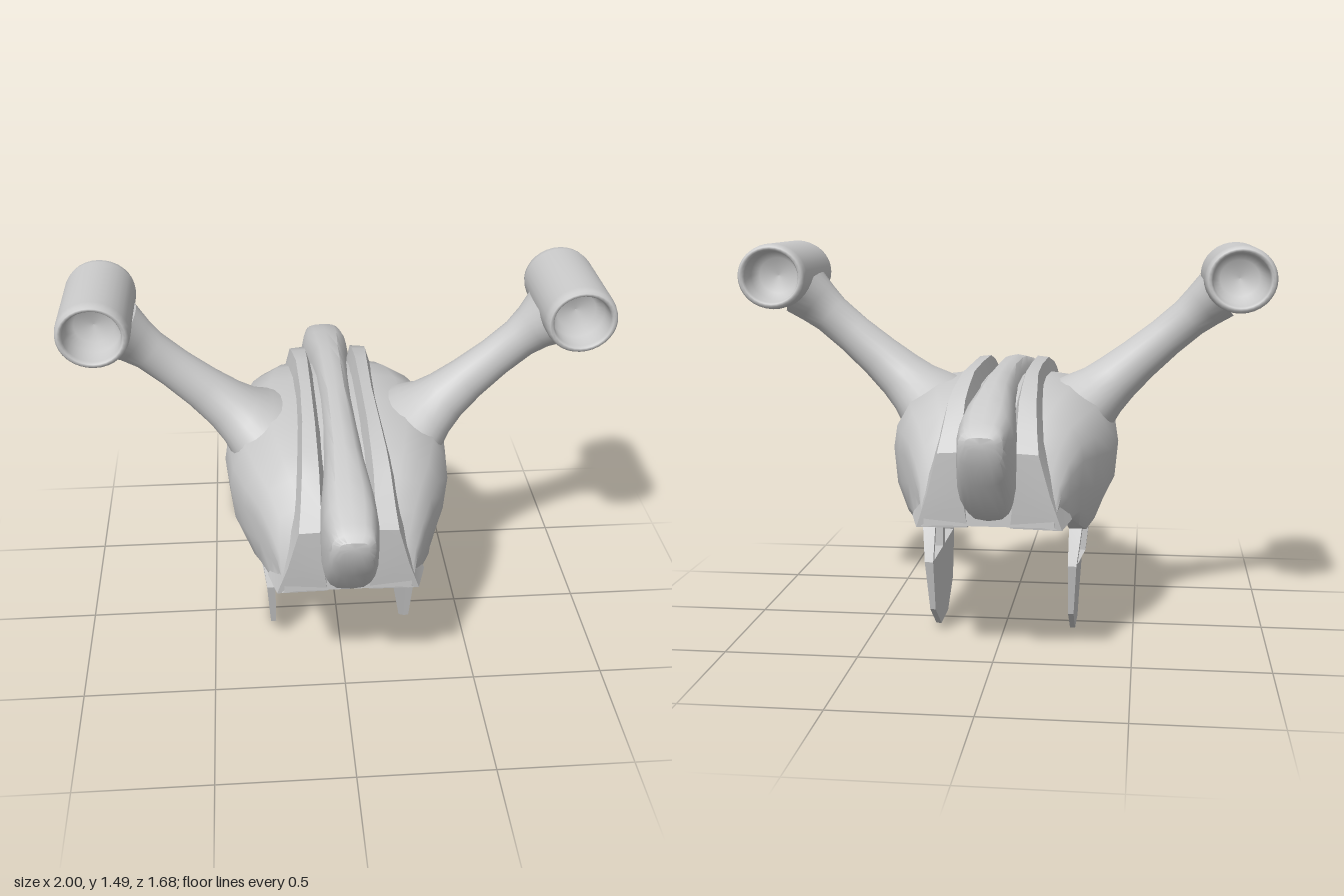
import * as THREE from 'three';
import { mergeVertices, toCreasedNormals } from 'three/addons/utils/BufferGeometryUtils.js';

const material = new THREE.MeshStandardMaterial({ color: 0xcccccc, side: THREE.DoubleSide });
const V = (x, y, z) => new THREE.Vector3(x, y, z);

// Skin a row of closed cross-sections and cap both ends.
function loft(rings, crease = 0.7) {
  const n = rings[0].length, pos = rings.flat(), tris = [];
  for (let i = 0; i < rings.length - 1; i++) {
    for (let j = 0; j < n; j++) {
      const a = i * n + j, b = i * n + (j + 1) % n;
      tris.push([a, b, a + n], [b, b + n, a + n]);
    }
  }
  [0, rings.length - 1].forEach((r, end) => {
    const c = pos.length;
    pos.push(rings[r].reduce((s, p) => s.add(p), V(0, 0, 0)).divideScalar(n));
    for (let j = 0; j < n; j++) {
      const a = r * n + j, b = r * n + (j + 1) % n;
      tris.push(end ? [a, b, c] : [b, a, c]);
    }
  });
  // Turn every face outward if the rings run the other way round.
  const volume = tris.reduce((s, [a, b, c]) => s + pos[a].dot(pos[b].clone().cross(pos[c])), 0);
  if (volume < 0) tris.forEach((t) => t.reverse());
  const g = new THREE.BufferGeometry().setFromPoints(pos);
  g.setIndex(tris.flat());
  return toCreasedNormals(mergeVertices(g), crease);
}

// Repeat stations [z, ...] on the other side of z = 0.
const mirrorZ = (stations) => [
  ...stations.slice(1).reverse().map(([z, ...rest]) => [-z, ...rest]),
  ...stations,
];

function mesh(name, geometry, parent) {
  const m = new THREE.Mesh(geometry, material);
  m.name = name;
  parent.add(m);
  return m;
}

// Broad body: [z, top, half width, bottom half width, bottom]
function hullGeometry() {
  const stations = mirrorZ([
    [0, 0.98, 0.43, 0.33, 0.43], [0.2, 0.975, 0.41, 0.32, 0.43],
    [0.35, 0.95, 0.365, 0.30, 0.485], [0.45, 0.915, 0.32, 0.28, 0.53],
    [0.53, 0.84, 0.28, 0.265, 0.53], [0.58, 0.74, 0.25, 0.25, 0.53],
    [0.61, 0.62, 0.235, 0.235, 0.53],
  ]);
  return loft(stations.map(([z, top, w, wb, yb]) => {
    const y = (f) => yb + (top - yb) * f;
    const inner = Math.min(0.255, wb - 0.02);
    const half = [
      [0.35 * w, y(1)], [0.6 * w, y(0.975)], [0.85 * w, y(0.86)], [0.97 * w, y(0.7)],
      [w, y(0.55)], [0.97 * w, y(0.3)], [Math.min(wb + 0.03, 0.97 * w), y(0.08)],
      [wb, yb], [inner, yb], [inner, 0.535],
    ];
    return [
      ...half.map(([x, v]) => V(x, v, z)),
      ...half.reverse().map(([x, v]) => V(-x, v, z)),
    ];
  }), 0.8);
}

// Central spine with a blunt nose at each end: [z, top, bottom, half width]
function spineGeometry() {
  const stations = mirrorZ([
    [0, 1.035, 0.56, 0.07], [0.25, 1.03, 0.56, 0.075], [0.4, 1.017, 0.56, 0.08],
    [0.6, 0.985, 0.55, 0.1], [0.69, 0.96, 0.595, 0.1], [0.78, 0.93, 0.715, 0.085],
    [0.82, 0.91, 0.79, 0.075], [0.838, 0.89, 0.845, 0.05],
  ]);
  const soft = (v) => Math.sign(v) * Math.abs(v) ** 0.65;
  return loft(stations.map(([z, top, bottom, w]) =>
    Array.from({ length: 20 }, (_, i) => {
      const a = (i / 20) * Math.PI * 2;
      return V(w * soft(Math.cos(a)), (top + bottom) / 2 + ((top - bottom) / 2) * soft(Math.sin(a)), z);
    })));
}

// Raised band over the body, beside the spine: [z, y, inner x, outer x]
function ridgeGeometry() {
  const stations = mirrorZ([
    [0, 1.035, 0.095, 0.135], [0.25, 1.03, 0.095, 0.14], [0.4, 0.995, 0.095, 0.15],
    [0.5, 0.96, 0.095, 0.155], [0.58, 0.87, 0.095, 0.165], [0.635, 0.8, 0.1, 0.175],
    [0.625, 0.65, 0.09, 0.215], [0.608, 0.53, 0.075, 0.255],
  ]);
  return loft(stations.map(([z, y, xi, xo]) => {
    const inZ = z * 0.85, inY = y + (0.6 - y) * 0.25;
    return [V(xi - 0.035, inY, inZ), V(xi, y, z), V(xo, y - 0.005, z * 0.995), V(xo + 0.03, inY, inZ)];
  }), 0.6);
}

// Flared arm: [x, y, radius across, radius along z]
function armGeometry() {
  const stations = [
    [0.24, 0.82, 0.16, 0.3], [0.32, 0.89, 0.13, 0.21], [0.365, 0.93, 0.11, 0.15],
    [0.42, 0.98, 0.097, 0.105], [0.5, 1.05, 0.085, 0.08], [0.6, 1.135, 0.077, 0.068],
    [0.69, 1.212, 0.078, 0.073], [0.74, 1.255, 0.088, 0.1], [0.79, 1.298, 0.1, 0.16],
  ];
  return loft(stations.map(([x, y, r, rz]) =>
    Array.from({ length: 24 }, (_, i) => {
      const a = (i / 24) * Math.PI * 2, c = Math.cos(a) * r;
      return V(x - 0.65 * c, y + 0.76 * c, rz * Math.sin(a));
    })), 0.9);
}

// Pod with a dished opening at both ends
function podGeometry() {
  const end = [[0.001, 0.1], [0.07, 0.11], [0.094, 0.14], [0.1, 0.205], [0.106, 0.217], [0.116, 0.217], [0.124, 0.207], [0.128, 0.18]];
  const profile = [...end.map(([r, h]) => [r, -h]), ...end.reverse()];
  const g = new THREE.LatheGeometry(profile.map(([r, h]) => new THREE.Vector2(r, h)), 32);
  g.rotateX(Math.PI / 2);
  g.scale(1.03, 0.96, 1);
  return g;
}

// Landing paddle hung on three struts, tapering downward and toward its edges
function legGeometry() {
  const path = (Type, pts) => new Type(pts.map(([z, y]) => new THREE.Vector2(z, y)));
  const shape = path(THREE.Shape, [
    [-0.085, 0], [0.085, 0], [0.22, 0.1], [0.265, 0.3], [0.205, 0.43], [0.18, 0.47],
    [-0.18, 0.47], [-0.205, 0.43], [-0.265, 0.3], [-0.22, 0.1],
  ]);
  for (const s of [-1, 1]) {
    shape.holes.push(path(THREE.Path, [[s * 0.025, 0.3], [s * 0.24, 0.3], [s * 0.185, 0.43], [s * 0.03, 0.43]]));
  }
  const g = new THREE.ExtrudeGeometry(shape, { depth: 1, bevelEnabled: false });
  const p = g.attributes.position;
  for (let i = 0; i < p.count; i++) {
    const z = p.getX(i), y = p.getY(i), d = p.getZ(i);
    const thick = (0.02 + 0.12 * y) * (1 - 1.6 * Math.abs(z) * Math.min(1, y / 0.1));
    p.setXYZ(i, 0.255 + d * thick, y, -z);
  }
  return toCreasedNormals(g, 0.4);
}

export function createModel() {
  const model = new THREE.Group();
  model.name = 'aircraft';
  mesh('hull', hullGeometry(), model);
  mesh('spine', spineGeometry(), model);

  const ridge = ridgeGeometry(), arm = armGeometry(), pod = podGeometry(), leg = legGeometry();
  for (const [name, sign] of [['leftSide', 1], ['rightSide', -1]]) {
    const side = new THREE.Group();
    side.name = name;
    side.scale.x = sign;
    mesh('ridge', ridge, side);
    mesh('arm', arm, side);
    mesh('pod', pod, side).position.set(0.867, 1.367, 0);
    mesh('landingLeg', leg, side);
    model.add(side);
  }
  return model;
}
